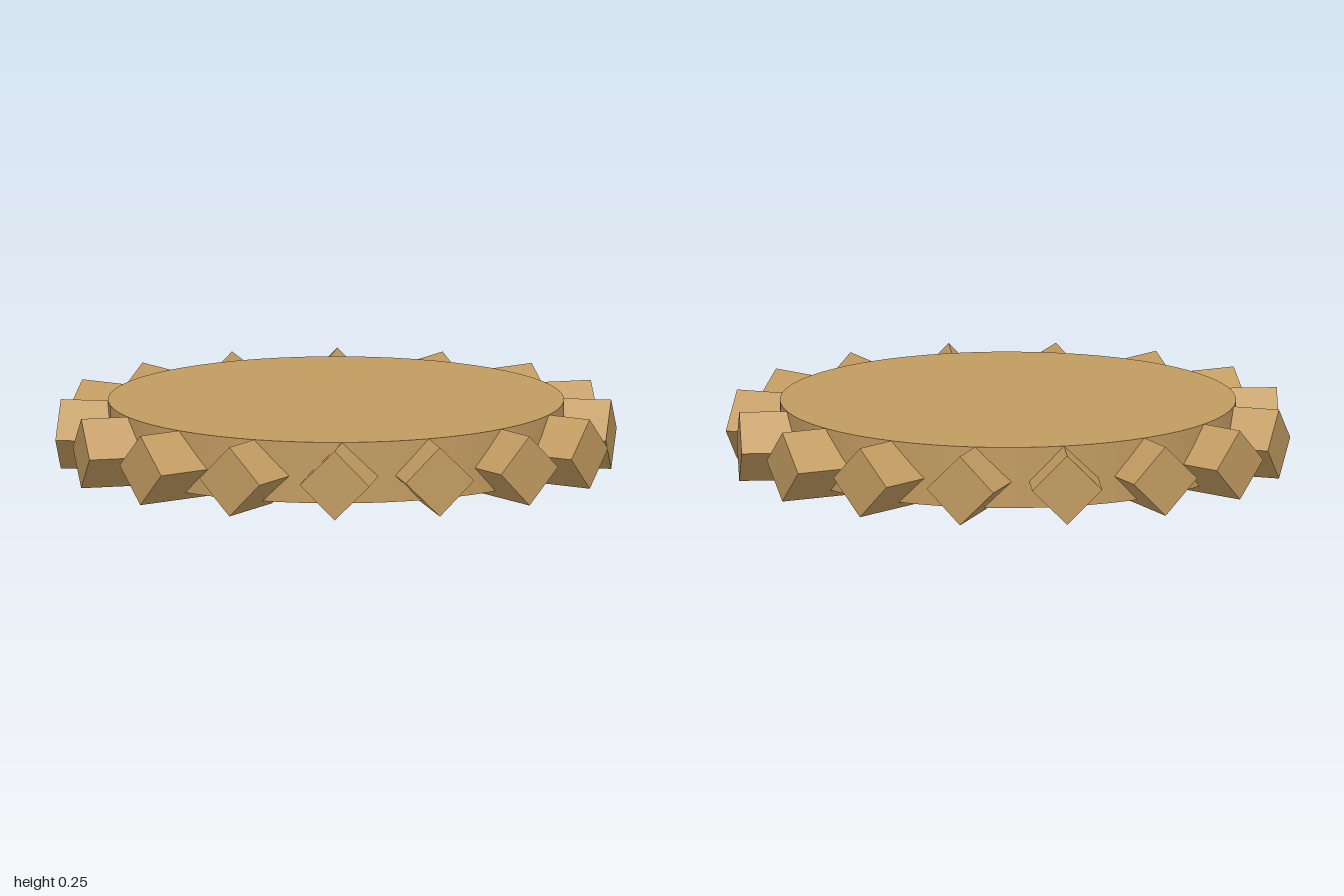
import * as THREE from 'three';

const TEETH = 16;
const RADIUS = 0.81;   // disc radius
const HALF = 0.125;    // half diagonal of a tooth, so it spans y = 0 to 0.25
const LENGTH = 0.29;   // tooth length along its own axis
const SKEW = Math.PI / 16; // each tooth is turned slightly off the radial direction

export function createModel() {
  const model = new THREE.Group();
  model.name = 'toothedWheel';
  const wood = new THREE.MeshStandardMaterial({ color: 0xc29b61 });
  wood.name = 'lightWood';

  // Solid disc, raised a little above the lowest tooth edges
  const disc = new THREE.Mesh(new THREE.CylinderGeometry(RADIUS, RADIUS, 0.22, 64), wood);
  disc.name = 'disc';
  disc.position.y = 0.14;
  model.add(disc);

  // Square bar standing on its edge, outer end at the skewed rim position
  const side = HALF * Math.SQRT2;
  const toothGeometry = new THREE.BoxGeometry(side, side, LENGTH);
  toothGeometry.rotateZ(Math.PI / 4);
  toothGeometry.translate(0, HALF, LENGTH / 2);
  toothGeometry.rotateY(Math.PI - SKEW);
  toothGeometry.translate(
    0.046 - LENGTH * Math.sin(SKEW),
    0,
    -0.976 + LENGTH * Math.cos(SKEW)
  );

  // Ring of teeth
  const teeth = new THREE.Group();
  teeth.name = 'teeth';
  for (let i = 0; i < TEETH; i++) {
    const tooth = new THREE.Mesh(toothGeometry, wood);
    tooth.name = `tooth${i + 1}`;
    tooth.rotation.y = (i / TEETH) * Math.PI * 2;
    teeth.add(tooth);
  }
  model.add(teeth);
  return model;
}
